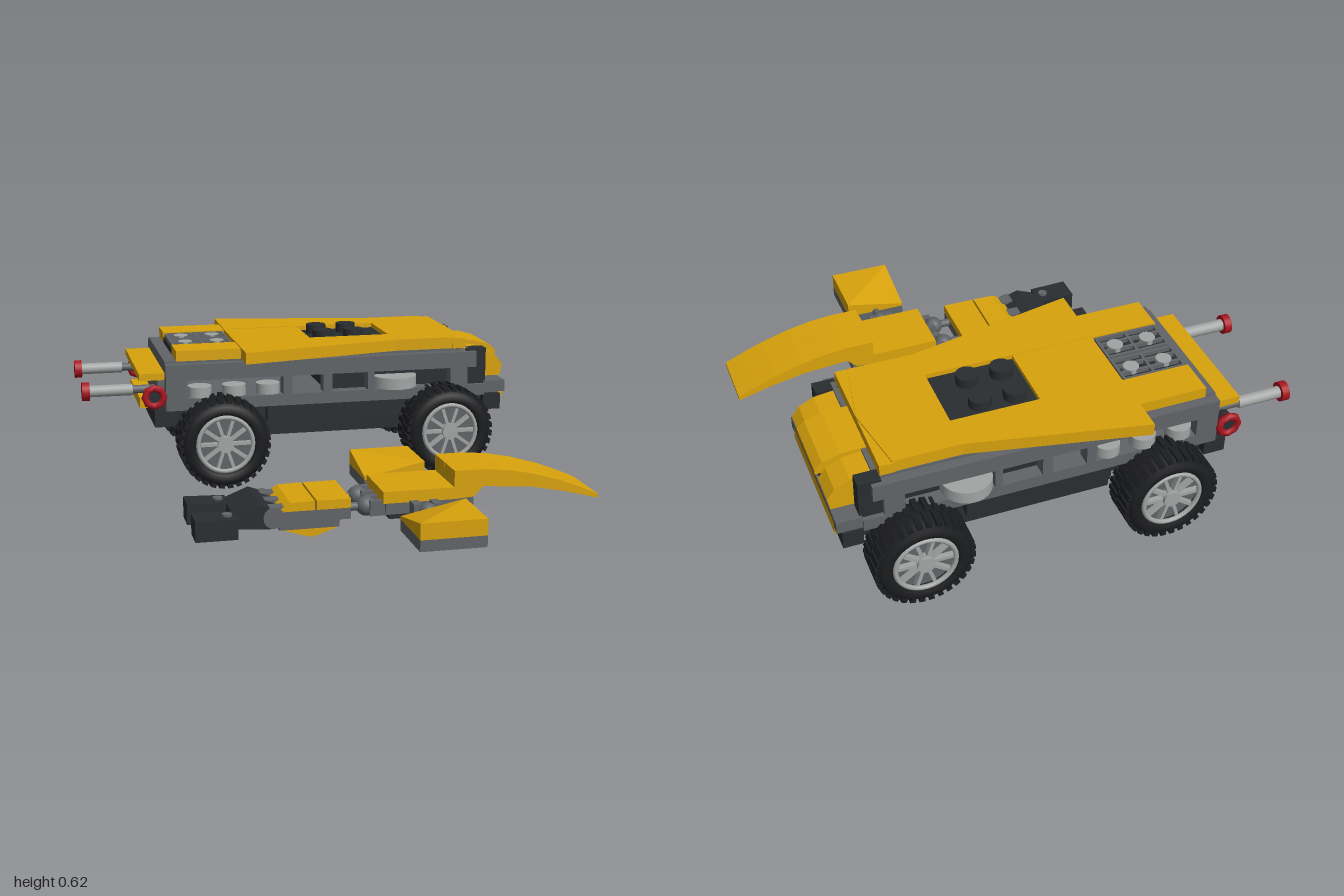
import * as THREE from 'three';

const mat = (color) => new THREE.MeshStandardMaterial({ color, side: THREE.DoubleSide });
const YELLOW = mat(0xd9a30c), DARK = mat(0x2a2d31), GREY = mat(0x616467), LIGHT = mat(0xa3a5a5), RED = mat(0xa8141f), TYRE = mat(0x1c1d1f);

function add(parent, name, geometry, material, x = 0, y = 0, z = 0) {
  const m = new THREE.Mesh(geometry, material);
  m.name = name;
  m.position.set(x, y, z);
  parent.add(m);
  return m;
}
// Box given by its limits on each axis
function box(parent, name, material, x0, x1, y0, y1, z0, z1) {
  return add(parent, name, new THREE.BoxGeometry(x1 - x0, y1 - y0, z1 - z0), material, (x0 + x1) / 2, (y0 + y1) / 2, (z0 + z1) / 2);
}
// Cylinder along a chosen axis
function rod(parent, name, material, r, len, axis, x, y, z, sides = 20) {
  const g = new THREE.CylinderGeometry(r, r, len, sides);
  if (axis === 'x') g.rotateZ(Math.PI / 2);
  if (axis === 'z') g.rotateX(Math.PI / 2);
  return add(parent, name, g, material, x, y, z);
}
const polygon = (pts) => new THREE.Shape(pts.map(([a, b]) => new THREE.Vector2(a, b)));
// Side profile in x,y extruded over z
function profile(parent, name, material, pts, z0, z1) {
  const g = new THREE.ExtrudeGeometry(polygon(pts), { depth: z1 - z0, bevelEnabled: false });
  return add(parent, name, g, material, 0, 0, z0);
}
// Plan outline in x,z extruded from y0 to y1
function plan(parent, name, material, pts, y0, y1, hole) {
  const s = polygon(pts);
  if (hole) s.holes.push(new THREE.Path(hole.map(([a, b]) => new THREE.Vector2(a, b))));
  const g = new THREE.ExtrudeGeometry(s, { depth: y1 - y0, bevelEnabled: false });
  g.rotateX(Math.PI / 2);
  return add(parent, name, g, material, 0, y1, 0);
}

// Wheel with axis along z, outer face towards +z
function makeWheel() {
  const w = new THREE.Group();
  w.name = 'wheel';
  const tyre = [[0.125, -0.08], [0.165, -0.085], [0.186, -0.065], [0.19, 0], [0.186, 0.065], [0.165, 0.085], [0.135, 0.085], [0.125, 0.07], [0.125, -0.08]];
  const g = new THREE.LatheGeometry(tyre.map(([r, y]) => new THREE.Vector2(r, y)), 40);
  g.rotateX(Math.PI / 2);
  add(w, 'tyre', g, TYRE);
  for (let i = 0; i < 32; i++) for (const s of [-1, 1]) {
    const a = (i + (s > 0 ? 0.5 : 0)) * Math.PI / 16;
    const lug = add(w, 'tread', new THREE.BoxGeometry(0.018, 0.022, 0.075), TYRE, Math.cos(a) * 0.187, Math.sin(a) * 0.187, s * 0.037);
    lug.rotation.z = a;
  }
  add(w, 'rim', new THREE.TorusGeometry(0.118, 0.01, 8, 32), LIGHT, 0, 0, 0.075);
  rod(w, 'rimBack', GREY, 0.125, 0.1, 'z', 0, 0, 0, 32);
  rod(w, 'hub', LIGHT, 0.035, 0.04, 'z', 0, 0, 0.065);
  for (let i = 0; i < 10; i++) {
    const a = i * Math.PI / 5;
    const spoke = add(w, 'spoke', new THREE.BoxGeometry(0.095, 0.014, 0.025), LIGHT, Math.cos(a) * 0.072, Math.sin(a) * 0.072, 0.06);
    spoke.rotation.z = a;
  }
  return w;
}

function makeCar() {
  const car = new THREE.Group();
  car.name = 'car';
  car.position.z = -0.54;
  // Chassis
  box(car, 'belly', DARK, -0.22, 0.42, 0.2, 0.28, -0.28, 0.28);
  box(car, 'floor', DARK, -0.7, 0.86, 0.27, 0.34, -0.28, 0.28);
  box(car, 'floorEnd', DARK, 0.78, 0.86, 0.27, 0.34, -0.32, 0.32);
  box(car, 'floorRear', DARK, -0.7, -0.61, 0.27, 0.34, -0.32, 0.32);
  box(car, 'sill', DARK, -0.21, 0.38, 0.27, 0.34, -0.32, 0.32);
  box(car, 'deck', GREY, -0.65, 0.86, 0.34, 0.39, -0.29, 0.29);
  box(car, 'underRoof', GREY, -0.65, 0.72, 0.47, 0.55, -0.29, 0.29);
  box(car, 'innerBlock', DARK, 0.06, 0.7, 0.39, 0.47, -0.27, 0.27);
  for (const x of [-0.415, 0.585]) {
    rod(car, 'axle', GREY, 0.022, 0.7, 'z', x, 0.21, 0);
    for (const s of [-1, 1]) {
      const w = makeWheel();
      w.position.set(x, 0.21, s * 0.37);
      if (s < 0) w.rotation.y = Math.PI;
      car.add(w);
    }
  }
  for (const s of [-1, 1]) {
    const side = new THREE.Group();
    side.name = 'carSide';
    car.add(side);
    const sbox = (name, m, x0, x1, y0, y1, a, b) => box(side, name, m, x0, x1, y0, y1, Math.min(s * a, s * b), Math.max(s * a, s * b));
    // Side frame
    sbox('lowerBeam', GREY, -0.65, 0.78, 0.34, 0.39, 0.27, 0.33);
    sbox('upperBeam', GREY, -0.65, 0.74, 0.47, 0.54, 0.27, 0.33);
    for (const [x0, x1] of [[-0.65, -0.56], [-0.14, -0.1], [0.04, 0.08], [0.24, 0.27], [0.62, 0.7]]) sbox('post', GREY, x0, x1, 0.39, 0.47, 0.27, 0.33);
    sbox('frontPost', DARK, 0.7, 0.79, 0.37, 0.55, 0.25, 0.31);
    sbox('cornerBar', GREY, 0.78, 0.88, 0.35, 0.4, 0.25, 0.32);
    // Side discs
    for (const x of [-0.5, -0.35, -0.2]) rod(side, 'smallDisc', LIGHT, 0.052, 0.045, 'y', x, 0.415, s * 0.285);
    rod(side, 'largeDisc', LIGHT, 0.1, 0.05, 'y', 0.37, 0.42, s * 0.285, 32);
    // Rear lamps and exhausts
    add(side, 'rearLamp', new THREE.TorusGeometry(0.04, 0.016, 8, 8), RED, -0.7, 0.405, s * 0.328);
    rod(side, 'lampCore', DARK, 0.032, 0.06, 'z', -0.7, 0.405, s * 0.3, 8);
    rod(side, 'exhaustSleeve', GREY, 0.018, 0.12, 'x', -0.75, 0.425, s * 0.24);
    rod(side, 'exhaust', LIGHT, 0.025, 0.19, 'x', -0.88, 0.425, s * 0.24);
    rod(side, 'exhaustTip', RED, 0.04, 0.032, 'x', -0.984, 0.425, s * 0.24);
    // Roof
    sbox('rearRoof', YELLOW, -0.6, -0.32, 0.55, 0.595, 0.145, 0.3);
    plan(side, 'roofWing', YELLOW, [[-0.32, s * 0.145], [0.38, s * 0.145], [0.38, s * 0.285], [-0.32, s * 0.43]], 0.55, 0.6);
    // Nose cheeks
    profile(side, 'noseCheek', YELLOW, [[0.72, 0.41], [0.88, 0.41], [0.89, 0.46], [0.86, 0.5], [0.8, 0.53], [0.72, 0.54]], s > 0 ? 0.125 : -0.25, s > 0 ? 0.25 : -0.125);
    // Vents
    sbox('vent', DARK, -0.6, -0.325, 0.55, 0.575, 0, 0.145);
    for (const z of [0.012, 0.05, 0.098, 0.136]) sbox('ventBar', GREY, -0.59, -0.33, 0.575, 0.592, z - 0.006, z + 0.006);
    for (const x of [-0.59, -0.46, -0.335]) sbox('ventBar', GREY, x - 0.006, x + 0.006, 0.575, 0.592, 0.012, 0.136);
    for (const x of [-0.53, -0.39]) {
      rod(side, 'ventStud', LIGHT, 0.032, 0.02, 'y', x, 0.585, s * 0.074);
    }
    for (const x of [0.095, 0.235]) rod(side, 'roofStud', DARK, 0.045, 0.045, 'y', x, 0.598, s * 0.072);
  }
  box(car, 'roofCentre', YELLOW, -0.32, 0.02, 0.55, 0.598, -0.145, 0.145);
  box(car, 'studPlate', DARK, 0.02, 0.38, 0.54, 0.58, -0.145, 0.145);
  plan(car, 'frontRoof', YELLOW, [[0.38, -0.285], [0.65, -0.285], [0.7, 0], [0.65, 0.285], [0.38, 0.285]], 0.55, 0.6);
  box(car, 'roofLip', YELLOW, 0.64, 0.7, 0.53, 0.595, -0.29, 0.29);
  // Nose and bumper
  profile(car, 'noseCentre', YELLOW, [[0.68, 0.48], [0.9, 0.48], [0.9, 0.5], [0.87, 0.53], [0.8, 0.55], [0.68, 0.555]], -0.125, 0.125);
  box(car, 'grille', DARK, 0.7, 0.87, 0.4, 0.48, -0.125, 0.125);
  box(car, 'bumper', YELLOW, 0.78, 0.88, 0.32, 0.375, -0.285, 0.285);
  box(car, 'bumperTop', GREY, 0.78, 0.88, 0.375, 0.4, -0.285, 0.285);
  // Tail
  box(car, 'tailTop', YELLOW, -0.76, -0.6, 0.47, 0.5, -0.29, 0.29);
  box(car, 'tailPanel', GREY, -0.68, -0.6, 0.36, 0.47, -0.28, 0.28);
  box(car, 'tailBumper', YELLOW, -0.75, -0.65, 0.33, 0.375, -0.2, 0.2);
  return car;
}

// Square wing with one sloping corner on the side facing the body
function makeArm(robot, s) {
  const arm = new THREE.Group();
  arm.name = 'arm';
  arm.position.set(0.25, 0, s * 0.4);
  robot.add(arm);
  const top = new THREE.BoxGeometry(0.26, 0.065, 0.26).toNonIndexed();
  const p = top.attributes.position;
  // Re-split the top so that its ridge runs between the two neighbouring corners
  const c = [[-0.13, s * 0.13], [0.13, -s * 0.13], [0.13, s * 0.13], [-0.13, s * 0.13], [-0.13, -s * 0.13], [0.13, -s * 0.13]];
  for (let i = 0; i < 6; i++) p.setXYZ(12 + i, c[i][0], 0.0325, c[i][1]);
  for (let i = 0; i < p.count; i++) if (p.getY(i) > 0 && p.getX(i) < 0 && p.getZ(i) * s < 0) p.setY(i, -0.02);
  top.computeVertexNormals();
  add(arm, 'armSlope', top, YELLOW, 0, 0.1325, 0);
  // Hollow base
  const q = [[-0.13, -0.13], [0.13, -0.13], [0.13, 0.13], [-0.13, 0.13]];
  plan(arm, 'armBase', GREY, q, 0.055, 0.1, q.map(([x, z]) => [x * 0.78, z * 0.78]).reverse());
  rod(arm, 'armSocket', GREY, 0.045, 0.045, 'y', 0, 0.08, 0);
  rod(arm, 'armPin', GREY, 0.015, 0.1, 'z', 0, 0.1, -s * 0.16);
  add(arm, 'armBall', new THREE.SphereGeometry(0.036, 20, 14), GREY, 0, 0.1, -s * 0.2);
  for (const x of [-0.04, 0.04]) box(arm, 'armClip', GREY, x - 0.016, x + 0.016, 0.07, 0.13, -s * 0.23 - 0.03, -s * 0.23 + 0.03);
}

function makeRobot() {
  const bot = new THREE.Group();
  bot.name = 'robot';
  bot.position.z = 0.47;
  // Jaws and head
  for (const s of [-1, 1]) {
    profile(bot, 'jaw', DARK, [[-0.655, 0.03], [-0.49, 0.03], [-0.49, 0.11], [-0.655, 0.115]], s * 0.112 - 0.055, s * 0.112 + 0.055);
    rod(bot, 'jawStud', GREY, 0.02, 0.01, 'y', -0.525, 0.115, s * 0.112);
    rod(bot, 'hinge', GREY, 0.042, 0.035, 'z', -0.345, 0.095, s * 0.12);
  }
  profile(bot, 'head', DARK, [[-0.5, 0.06], [-0.36, 0.05], [-0.32, 0.07], [-0.32, 0.12], [-0.4, 0.15], [-0.5, 0.11]], -0.13, 0.13);
  for (const z of [-0.1, 0, 0.1]) box(bot, 'hingeTooth', GREY, -0.37, -0.3, 0.07, 0.135, z - 0.025, z + 0.025);
  // Chest
  box(bot, 'chestBase', GREY, -0.32, -0.04, 0.07, 0.115, -0.13, 0.13);
  box(bot, 'chestUnder', GREY, -0.32, -0.08, 0.035, 0.07, -0.11, 0.11);
  profile(bot, 'chestPlateRear', YELLOW, [[-0.32, 0.115], [-0.184, 0.115], [-0.184, 0.152], [-0.28, 0.15], [-0.32, 0.125]], -0.13, 0.13);
  box(bot, 'chestPlateFront', YELLOW, -0.176, -0.04, 0.115, 0.152, -0.13, 0.13);
  profile(bot, 'keel', YELLOW, [[-0.31, 0.035], [-0.2, 0], [-0.17, 0.003], [-0.08, 0.035]], -0.105, 0.105);
  // Waist ball joints
  for (const s of [-1, 1]) {
    rod(bot, 'waistPin', GREY, 0.017, 0.12, 'x', -0.01, 0.1, s * 0.07);
    add(bot, 'waistBall', new THREE.SphereGeometry(0.04, 20, 14), GREY, 0.035, 0.1, s * 0.07);
    for (const d of [-0.037, 0.037]) box(bot, 'waistClip', GREY, 0.04, 0.12, 0.07, 0.13, s * 0.07 + d - 0.013, s * 0.07 + d + 0.013);
    // Curved tail plates
    profile(bot, 'tailPlate', YELLOW, [[0.38, 0.12], [0.46, 0.125], [0.5, 0.165], [0.7, 0.15], [0.85, 0.12], [0.99, 0.083], [0.99, 0.1], [0.91, 0.135], [0.82, 0.17], [0.7, 0.205], [0.6, 0.225], [0.5, 0.235], [0.38, 0.235]], s > 0 ? 0.001 : -0.13, s > 0 ? 0.13 : -0.001);
    makeArm(bot, s);
  }
  // Hips
  box(bot, 'hipBase', GREY, 0.1, 0.4, 0.075, 0.12, -0.13, 0.13);
  box(bot, 'hipUnder', DARK, 0.12, 0.38, 0.05, 0.075, -0.11, 0.11);
  box(bot, 'hipTop', YELLOW, 0.09, 0.38, 0.12, 0.168, -0.13, 0.13);
  box(bot, 'tailMount', GREY, 0.38, 0.47, 0.075, 0.12, -0.1, 0.1);
  return bot;
}

export function createModel() {
  const model = new THREE.Group();
  model.name = 'carAndRobot';
  model.add(makeCar(), makeRobot());
  return model;
}
